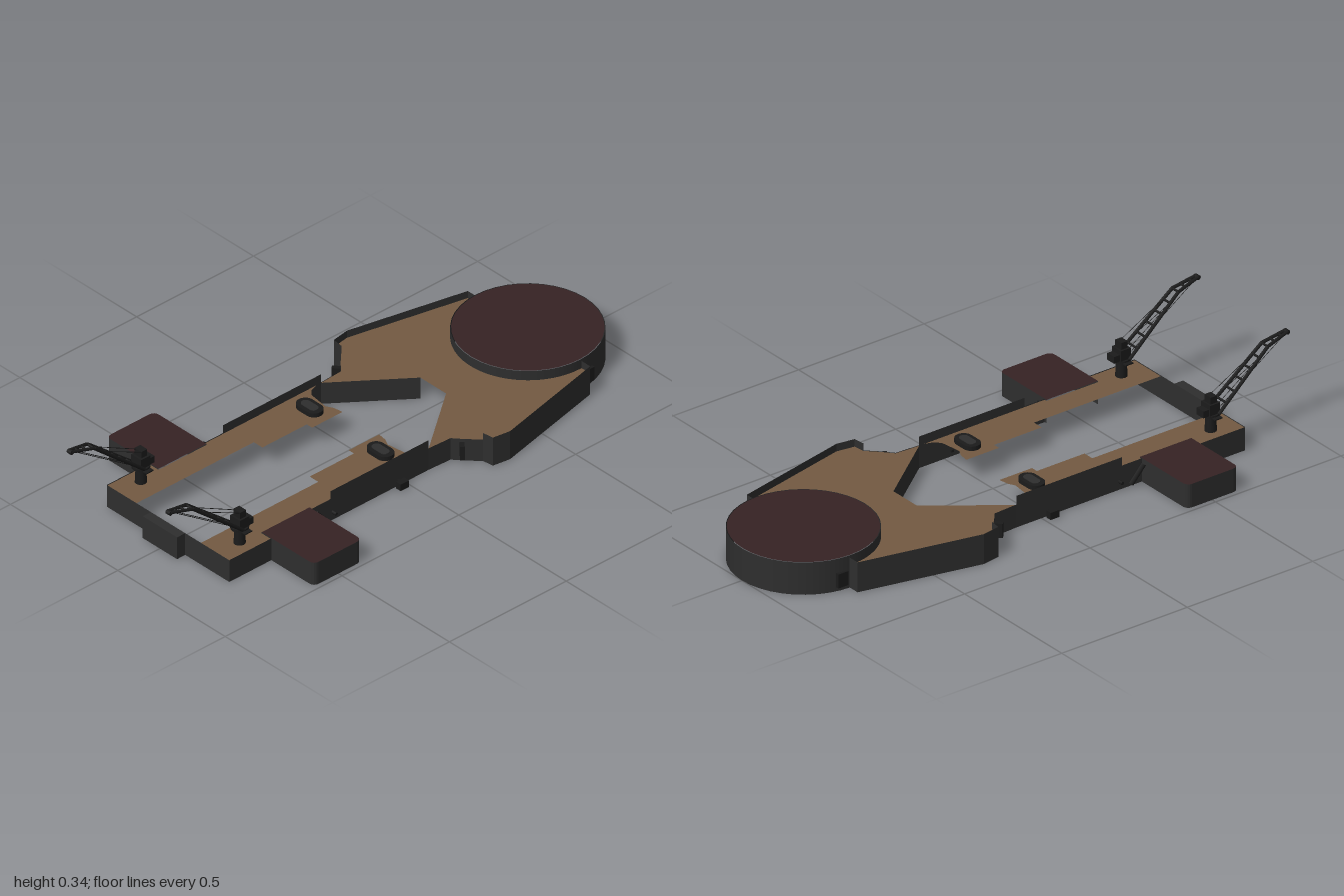
import * as THREE from 'three';

const mat = (name, color) => {
  const m = new THREE.MeshStandardMaterial({ color, side: THREE.DoubleSide });
  m.name = name;
  return m;
};

export function createModel() {
  const deckBrown = mat('deckBrown', 0x735a42);
  const roofMaroon = mat('roofMaroon', 0x362224);
  const hullGrey = mat('hullGrey', 0x2e2e2e);
  const craneBlack = mat('craneBlack', 0x1b1b1b);

  const model = new THREE.Group();
  const DECK = 0.08;

  const add = (parent, name, geo, material, x = 0, y = 0, z = 0) => {
    const m = new THREE.Mesh(geo, material);
    m.name = name;
    m.position.set(x, y, z);
    parent.add(m);
    return m;
  };

  // Flat sheet from a plan outline (shape coordinates are x, -z)
  const sheet = (name, shape, material, y) =>
    add(model, name, new THREE.ShapeGeometry(shape, 24).rotateX(-Math.PI / 2), material, 0, y);

  const outline = (pts) => new THREE.Shape(pts.map(([x, z]) => new THREE.Vector2(x, -z)));

  // Thin upright plating along a plan path of [x, z] points
  const wall = (name, pts, height) => {
    const p = [];
    for (let i = 0; i + 1 < pts.length; i++) {
      const [ax, az] = pts[i], [bx, bz] = pts[i + 1];
      p.push(ax, 0, az, bx, 0, bz, bx, height, bz, ax, 0, az, bx, height, bz, ax, height, az);
    }
    const g = new THREE.BufferGeometry();
    g.setAttribute('position', new THREE.Float32BufferAttribute(p, 3));
    g.computeVertexNormals();
    return add(model, name, g, hullGrey);
  };

  // Straight rod between two points
  const rod = (parent, name, a, b, r, sides = 6) => {
    const A = new THREE.Vector3(...a), B = new THREE.Vector3(...b);
    const d = B.clone().sub(A);
    const m = add(parent, name, new THREE.CylinderGeometry(r, r, d.length(), sides), craneBlack);
    m.position.copy(A).add(B).multiplyScalar(0.5);
    m.quaternion.setFromUnitVectors(new THREE.Vector3(0, 1, 0), d.normalize());
    return m;
  };

  // Round house at the rear, open below
  const ZC = -0.755, R = 0.245, TOP = 0.115;
  add(model, 'roundHouseWall', new THREE.CylinderGeometry(R, R, TOP, 40, 1, true), hullGrey, 0, TOP / 2, ZC);
  add(model, 'roundHouseRoof', new THREE.CircleGeometry(R - 0.003, 40).rotateX(-Math.PI / 2), roofMaroon, 0, TOP, ZC);

  // Rear deck with a V opening, cut around the round house
  const rear = outline([
    [-0.245, -0.76], [-0.285, -0.76], [-0.38, -0.33], [-0.37, -0.265], [-0.33, -0.26],
    [-0.29, -0.22], [-0.255, -0.19], [-0.25, -0.1], [-0.06, -0.35], [0.06, -0.35], [0.25, -0.1],
    [0.255, -0.19], [0.29, -0.22], [0.33, -0.26], [0.37, -0.265], [0.38, -0.33], [0.285, -0.76], [0.245, -0.76],
  ]);
  rear.absarc(0, -ZC, R, 0, Math.PI, true);
  sheet('rearDeck', rear, deckBrown, DECK);

  for (const s of [1, -1]) {
    const side = s > 0 ? 'left' : 'right';
    const flip = (pts) => pts.map(([x, z]) => [s * x, z]);

    // Side arm deck
    sheet(side + 'ArmDeck', outline(flip([
      [0.25, -0.08], [0.24, -0.05], [0.22, -0.032], [0.17, -0.025], [0.145, -0.022], [0.12, -0.035],
      [0.085, -0.04], [0.085, 0.09], [0.11, 0.09], [0.11, 0.28], [0.15, 0.28], [0.15, 0.785],
      [0.285, 0.785], [0.285, 0.605], [0.24, 0.605], [0.24, 0.4], [0.25, 0.4],
    ])), deckBrown, DECK);

    // Hull plating, low and raised stretches
    wall(side + 'FrontHull', flip([[0.285, 0.785], [0.285, 0.605]]), 0.083);
    wall(side + 'ArmHull', flip([[0.25, 0.4], [0.25, 0.32]]), 0.083);
    wall(side + 'ArmBulwark', flip([[0.25, 0.32], [0.25, -0.1]]), 0.113);
    wall(side + 'NeckHull', flip([[0.25, -0.1], [0.255, -0.19], [0.29, -0.22], [0.33, -0.26]]), 0.082);
    wall(side + 'RearBulwark', flip([[0.33, -0.26], [0.37, -0.265], [0.38, -0.33], [0.285, -0.76], [0.243, -0.76]]), 0.107);
    wall(side + 'OpeningWall', flip([[0.25, -0.1], [0.06, -0.35]]), DECK);

    // Side platform with rounded outer corners
    const rim = [[0.24, 0.4]];
    for (let i = 0; i <= 4; i++) {
      const a = (i / 4) * Math.PI / 2;
      rim.push([0.463 + 0.02 * Math.sin(a), 0.42 - 0.02 * Math.cos(a)]);
    }
    for (let i = 0; i <= 4; i++) {
      const a = (i / 4) * Math.PI / 2;
      rim.push([0.463 + 0.02 * Math.cos(a), 0.585 + 0.02 * Math.sin(a)]);
    }
    rim.push([0.24, 0.605]);
    sheet(side + 'PlatformTop', outline(flip(rim)), roofMaroon, 0.084);
    wall(side + 'PlatformWall', flip(rim), 0.084);

    // Oblong hatch on the arm deck
    const pill = (w, r) => {
      const h = new THREE.Shape();
      h.absarc(w, 0, r, -Math.PI / 2, Math.PI / 2, false);
      h.absarc(-w, 0, r, Math.PI / 2, Math.PI * 1.5, false);
      return h;
    };
    const hatch = (name, w, r, depth, m, y) =>
      add(model, side + name, new THREE.ExtrudeGeometry(pill(w, r), { depth, bevelEnabled: false, curveSegments: 8 })
        .rotateX(-Math.PI / 2), m, s * 0.165, y, 0.027);
    hatch('Hatch', 0.02, 0.03, 0.015, craneBlack, DECK);
    hatch('HatchLid', 0.018, 0.016, 0.004, hullGrey, DECK + 0.013);

    // Small fittings along the hull
    add(model, side + 'MooringBracket', new THREE.BoxGeometry(0.022, 0.025, 0.035), craneBlack, s * 0.27, 0.015, 0.03);
    add(model, side + 'MooringArm', new THREE.BoxGeometry(0.025, 0.008, 0.01), craneBlack, s * 0.258, 0.02, 0.03);
    add(model, side + 'NeckBracket', new THREE.BoxGeometry(0.03, 0.05, 0.015), craneBlack, s * 0.293, 0.045, -0.205)
      .rotation.y = -s * 0.7;
    add(model, side + 'HouseBracket', new THREE.BoxGeometry(0.012, 0.05, 0.04), craneBlack, s * 0.245, 0.04, -0.79);
    rod(model, side + 'Anchor', [s * 0.265, 0.07, 0.395], [s * 0.265, 0.015, 0.345], 0.009);
    rod(model, side + 'AnchorPin', [s * 0.25, 0.03, 0.31], [s * 0.268, 0.03, 0.31], 0.006);

    // Deck crane
    const crane = new THREE.Group();
    crane.name = side + 'Crane';
    crane.position.set(s * 0.23, 0, 0.69);
    model.add(crane);
    add(crane, 'pedestal', new THREE.CylinderGeometry(0.017, 0.02, 0.06, 12), craneBlack, 0, 0.11, 0);
    add(crane, 'turntable', new THREE.CylinderGeometry(0.03, 0.03, 0.01, 16), craneBlack, 0, 0.14, 0);
    add(crane, 'walkway', new THREE.BoxGeometry(0.085, 0.004, 0.03), craneBlack, 0, 0.137, 0);
    add(crane, 'cab', new THREE.BoxGeometry(0.046, 0.04, 0.04), craneBlack, 0, 0.162, 0);
    add(crane, 'mast', new THREE.BoxGeometry(0.032, 0.03, 0.025), craneBlack, 0, 0.191, 0);
    add(crane, 'counterweight', new THREE.BoxGeometry(0.036, 0.024, 0.025), craneBlack, 0, 0.155, -0.03);

    // Tapering lattice jib with a bent tip
    const foot = [0.028, 0.145, 0.01], knee = [0.016, 0.315, 0.215], tip = [0.006, 0.336, 0.302];
    const at = (a, b, t, sx) => [sx * (a[0] + (b[0] - a[0]) * t), a[1] + (b[1] - a[1]) * t, a[2] + (b[2] - a[2]) * t];
    for (const q of [1, -1]) {
      rod(crane, 'jibChord', at(foot, knee, 0, q), at(foot, knee, 1, q), 0.006);
      rod(crane, 'jibTipChord', at(knee, tip, 0, q), at(knee, tip, 1, q), 0.006);
      rod(crane, 'hoistCable', [q * 0.012, 0.2, 0.005], at(foot, knee, 0.85, q), 0.0012, 4);
      rod(crane, 'loadCable', [q * 0.008, 0.15, 0.02], at(knee, tip, 0.9, q), 0.0012, 4);
    }
    for (let i = 1; i <= 6; i++) {
      rod(crane, 'jibRung', at(foot, knee, i / 6, 1), at(foot, knee, i / 6, -1), 0.004);
    }
    for (const t of [0.35, 0.7]) rod(crane, 'tipRung', at(knee, tip, t, 1), at(knee, tip, t, -1), 0.004);
    add(crane, 'tipSheave', new THREE.CylinderGeometry(0.008, 0.008, 0.018, 10).rotateZ(Math.PI / 2), craneBlack, 0, 0.334, 0.302);
  }

  // Front plating and the fender block on it
  wall('frontWall', [[-0.285, 0.785], [0.285, 0.785]], 0.083);
  add(model, 'frontBlock', new THREE.BoxGeometry(0.16, 0.083, 0.035), hullGrey, 0, 0.0415, 0.8025);

  return model;
}
